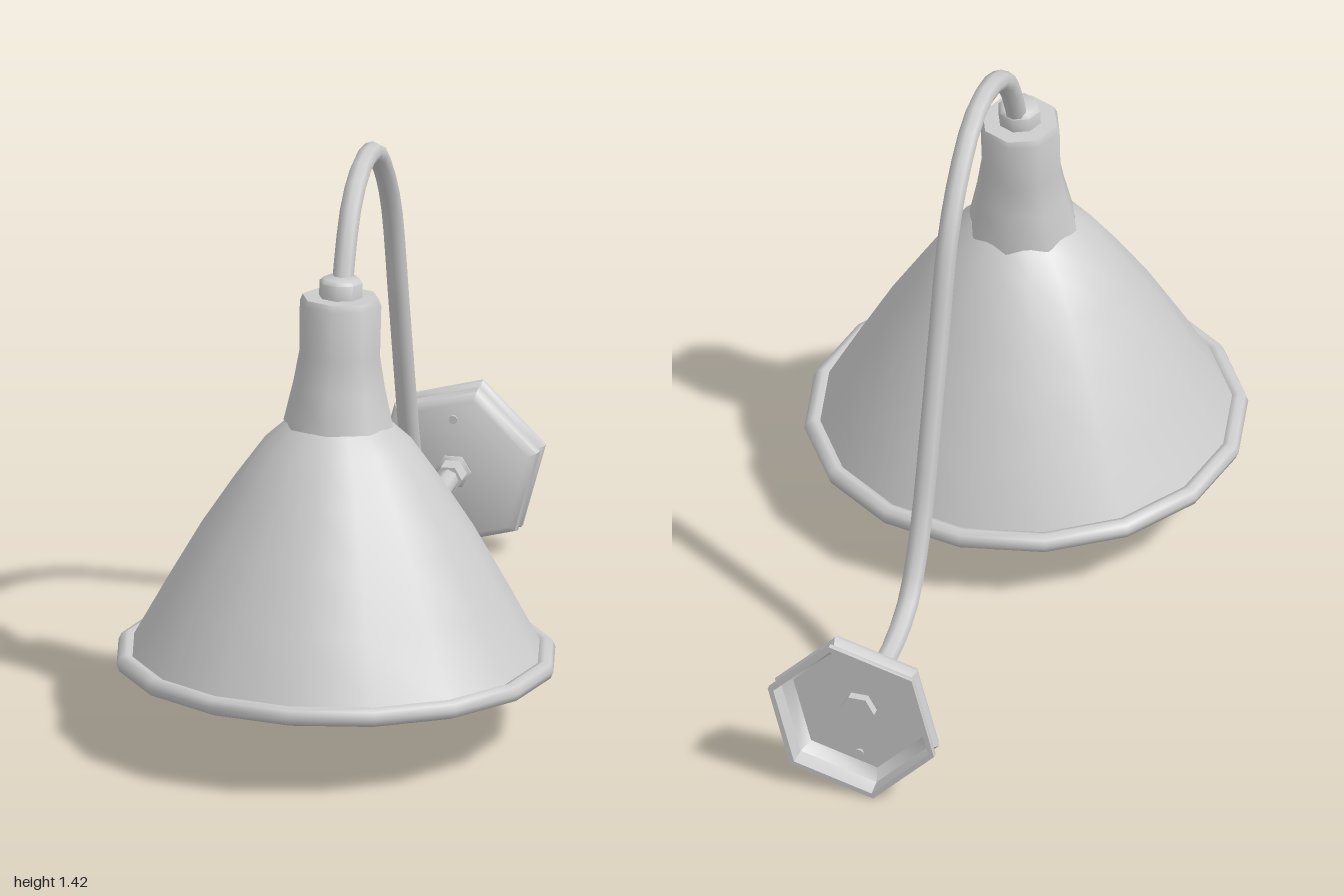
import * as THREE from 'three';
import { toCreasedNormals } from 'three/addons/utils/BufferGeometryUtils.js';

const grey = new THREE.MeshStandardMaterial({ color: 0xcccccc, side: THREE.DoubleSide });
grey.name = 'light grey';

function add(parent, name, geometry) {
  const mesh = new THREE.Mesh(geometry, grey);
  mesh.name = name;
  parent.add(mesh);
  return mesh;
}

// Revolve [radius, height] pairs, keeping sharp edges sharp
function turn(profile, sides, phi = 0) {
  const points = profile.map(([r, y]) => new THREE.Vector2(r, y));
  return toCreasedNormals(new THREE.LatheGeometry(points, sides, phi), 0.9);
}

// Group leaning back towards the wall
function leaning(parent, name, y, z, angle) {
  const group = new THREE.Group();
  group.name = name;
  group.position.set(0, y, z);
  group.rotation.x = -angle;
  parent.add(group);
  return group;
}

export function createModel() {
  const lamp = new THREE.Group();
  lamp.name = 'wallLamp';

  // Hollow shade with rolled rim; heights are measured from the rim
  const shade = leaning(lamp, 'shade', 0.21, 0.44, 0.045);
  add(shade, 'shadeShell', turn([
    [0.515, 0.02], [0.43, 0.175], [0.345, 0.325], [0.26, 0.455], [0.185, 0.56], [0.13, 0.61],
    [0.12, 0.6], [0.175, 0.55], [0.25, 0.445], [0.335, 0.315], [0.42, 0.165], [0.505, 0.01],
  ], 16));
  const rim = add(shade, 'rim', new THREE.TorusGeometry(0.53, 0.025, 8, 16));
  rim.rotation.x = Math.PI / 2;

  // Bulb and its socket
  add(shade, 'bulb', turn([
    [0, -0.095], [0.065, -0.082], [0.115, -0.035], [0.135, 0.03], [0.12, 0.095],
    [0.085, 0.155], [0.062, 0.21], [0.058, 0.27],
  ], 10));
  add(shade, 'socket', turn([[0, 0.25], [0.068, 0.25], [0.068, 0.6], [0, 0.6]], 10));

  // Neck above the shade and the collar that grips the arm
  const neck = leaning(lamp, 'neck', 0.815, 0.412, 0.08);
  add(neck, 'neckSleeve', turn([
    [0, 0], [0.14, 0], [0.117, 0.1], [0.103, 0.18], [0.104, 0.31], [0.097, 0.327], [0, 0.327],
  ], 8));
  add(neck, 'neckCollar', turn([[0, 0.32], [0.055, 0.32], [0.055, 0.365], [0.045, 0.375], [0, 0.375]], 8));

  // Gooseneck arm, as [z, y] points
  const path = [
    [0.37, 1.15], [0.345, 1.21], [0.305, 1.285], [0.25, 1.35], [0.13, 1.402], [0.01, 1.393],
    [-0.09, 1.325], [-0.195, 1.185], [-0.285, 0.9], [-0.35, 0.68], [-0.43, 0.435],
    [-0.525, 0.285], [-0.63, 0.237], [-0.77, 0.227], [-0.93, 0.227],
  ].map(([z, y]) => new THREE.Vector3(0, y, z));
  add(lamp, 'arm', new THREE.TubeGeometry(new THREE.CatmullRomCurve3(path), 32, 0.027, 8));

  // Six-sided wall plate, hollow at the back
  const plate = new THREE.Group();
  plate.name = 'wallPlate';
  plate.position.set(0, 0.227, -1);
  plate.rotation.x = Math.PI / 2;
  lamp.add(plate);
  add(plate, 'plateShell', turn([
    [0.225, 0], [0.225, 0.015], [0.208, 0.028], [0.222, 0.05], [0.215, 0.068], [0.195, 0.085], [0, 0.085],
    [0, 0.073], [0.18, 0.073], [0.205, 0.045], [0.21, 0], [0.225, 0],
  ], 6, -Math.PI / 12));
  add(plate, 'armCollar', turn([
    [0, 0.05], [0.045, 0.05], [0.045, 0.09], [0.036, 0.095], [0.036, 0.15], [0, 0.15],
  ], 6, Math.PI / 6));

  // Screws above and below the arm
  for (const side of [-1, 1]) {
    const screw = add(plate, 'screw', new THREE.CylinderGeometry(0.011, 0.011, 0.024, 10));
    screw.position.set(0, 0.079, side * 0.137);
  }
  return lamp;
}
